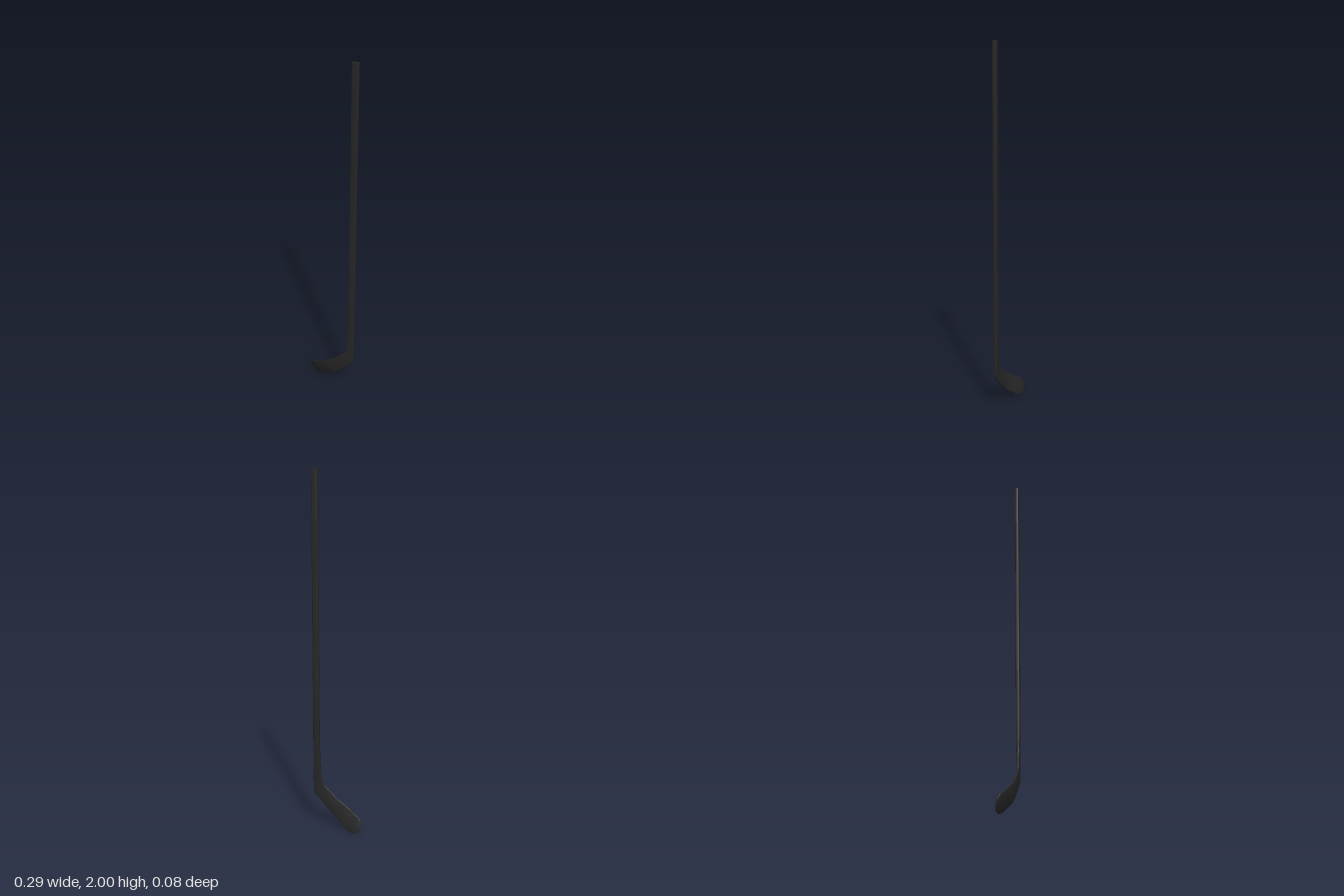
import * as THREE from 'three';
import { toCreasedNormals } from 'three/addons/utils/BufferGeometryUtils.js';

const V = (x, y, z) => new THREE.Vector3(x, y, z);

// Rounded rectangle outline, w x t with corner radius r
function outline(w, t, r) {
  const pts = [];
  const centres = [[1, 1], [-1, 1], [-1, -1], [1, -1]];
  centres.forEach(([sx, sy], q) => {
    for (let k = 0; k <= 3; k++) {
      const a = (q + k / 3) * Math.PI / 2;
      pts.push([sx * (w / 2 - r) + r * Math.cos(a), sy * (t / 2 - r) + r * Math.sin(a)]);
    }
  });
  return pts;
}

// Loft through stations [inner edge, outer edge, thickness]
function loft(stations, steps) {
  const inner = new THREE.CatmullRomCurve3(stations.map(s => V(...s[0])));
  const outer = new THREE.CatmullRomCurve3(stations.map(s => V(...s[1])));
  const last = stations.length - 1;
  const middle = u => inner.getPoint(u).lerp(outer.getPoint(u), 0.5);
  const pos = [], idx = [], n = 16;
  for (let i = 0; i <= steps; i++) {
    const u = i / steps, f = u * last, k = Math.min(Math.floor(f), last - 1);
    const t = THREE.MathUtils.lerp(stations[k][2], stations[k + 1][2], f - k);
    const mid = middle(u);
    const across = outer.getPoint(u).sub(inner.getPoint(u));
    const w = across.length();
    across.normalize();
    const along = middle(Math.min(1, u + 0.01)).sub(middle(Math.max(0, u - 0.01)));
    const normal = across.clone().cross(along).normalize();
    for (const [a, b] of outline(w, t, Math.min(0.005, t * 0.49, w * 0.49))) {
      const p = mid.clone().addScaledVector(across, a).addScaledVector(normal, b);
      pos.push(p.x, p.y, p.z);
    }
  }
  for (let i = 0; i < steps; i++) {
    for (let j = 0; j < n; j++) {
      const a = i * n + j, b = i * n + (j + 1) % n;
      idx.push(a, a + n, b, b, a + n, b + n);
    }
  }
  // End caps
  const end = steps * n;
  for (let j = 1; j < n - 1; j++) {
    idx.push(0, j, j + 1, end, end + j + 1, end + j);
  }
  const g = new THREE.BufferGeometry();
  g.setAttribute('position', new THREE.Float32BufferAttribute(pos, 3));
  g.setIndex(idx);
  return toCreasedNormals(g, 0.75);
}

export function createModel() {
  const group = new THREE.Group();
  const carbon = new THREE.MeshStandardMaterial({ color: 0x262626 });
  carbon.name = 'carbon black';

  const add = (name, geometry) => {
    const mesh = new THREE.Mesh(geometry, carbon);
    mesh.name = name;
    group.add(mesh);
  };

  // Straight shaft and its upper grip
  const z = 0.027;
  const straight = (top, bottom) => loft([
    [[0.108, top, z], [0.143, top, z], 0.021],
    [[0.108, bottom, z], [0.143, bottom, z], 0.021],
  ], 1);
  add('grip', straight(2, 1.75));
  add('shaft', straight(1.75, 0.8));

  // Tapering neck, heel and curved, twisted blade
  add('blade', loft([
    [[0.108, 0.8, z], [0.143, 0.8, z], 0.021],
    [[0.107, 0.55, z], [0.143, 0.52, z], 0.021],
    [[0.103, 0.38, z], [0.143, 0.35, z], 0.018],
    [[0.095, 0.29, 0.028], [0.143, 0.25, 0.028], 0.013],
    [[0.076, 0.247, 0.029], [0.14, 0.2, 0.028], 0.01],
    [[0.05, 0.222, 0.028], [0.12, 0.178, 0.027], 0.009],
    [[0, 0.177, 0.023], [0.07, 0.125, 0.022], 0.008],
    [[-0.05, 0.143, 0.013], [0.02, 0.077, 0.015], 0.008],
    [[-0.1, 0.11, -0.003], [-0.035, 0.034, -0.007], 0.008],
    [[-0.128, 0.093, -0.014], [-0.078, 0.006, -0.024], 0.008],
    [[-0.141, 0.08, -0.02], [-0.103, 0.001, -0.033], 0.008],
    [[-0.147, 0.058, -0.028], [-0.128, 0.014, -0.037], 0.007],
    [[-0.146, 0.045, -0.033], [-0.141, 0.03, -0.036], 0.004],
  ], 60));

  return group;
}
